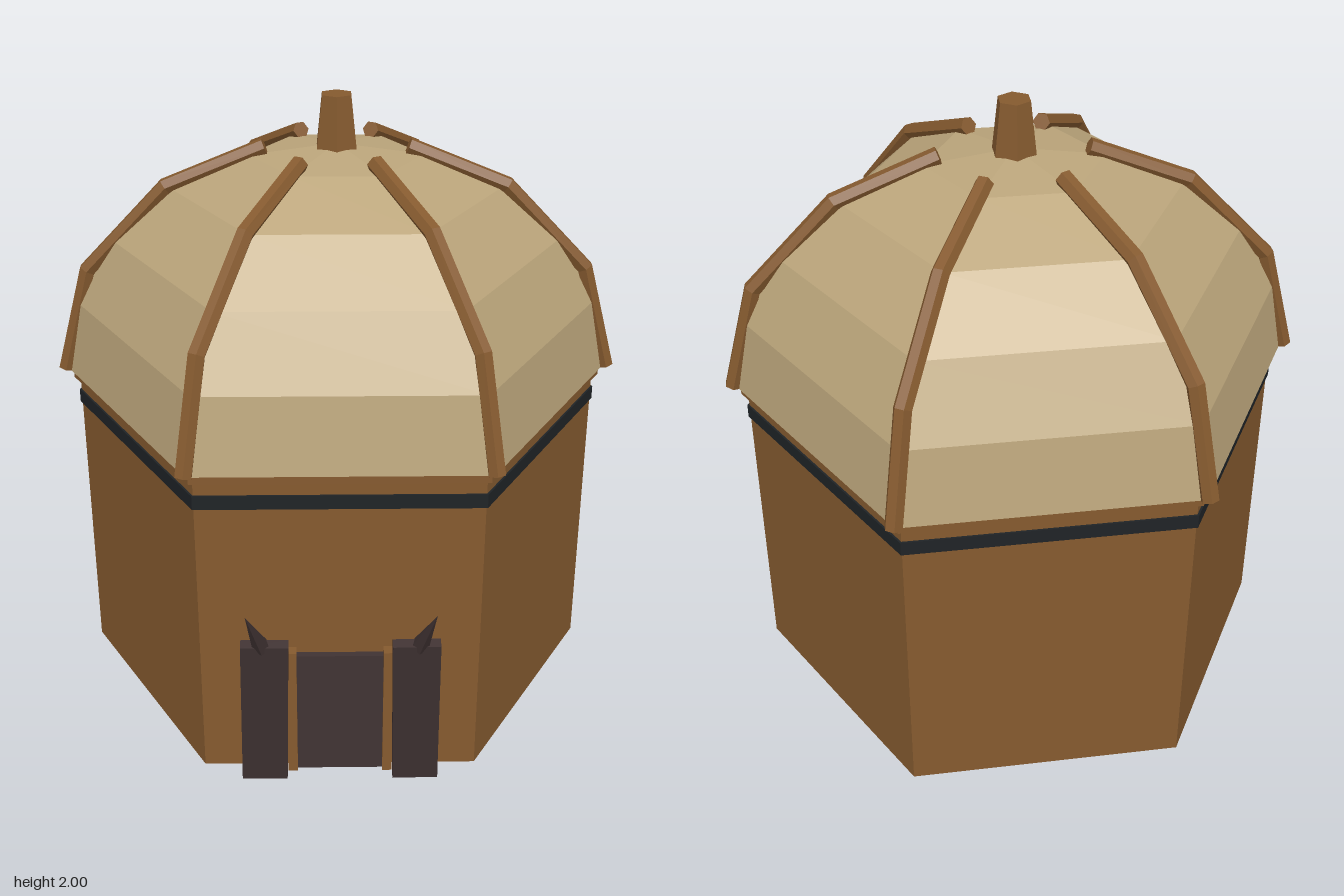
import * as THREE from 'three';

const flat = (name, color) => {
  const m = new THREE.MeshStandardMaterial({ color, flatShading: true });
  m.name = name;
  return m;
};

export function createModel() {
  const wood = flat('brown wood', 0x855a2f);
  const canvas = flat('tan canvas', 0xbba57b);
  const iron = flat('dark iron', 0x1f2326);
  const slate = flat('dark door timber', 0x403333);

  const model = new THREE.Group();
  model.name = 'hexagonalHut';
  const add = (parent, name, geometry, material, x = 0, y = 0, z = 0) => {
    const mesh = new THREE.Mesh(geometry, material);
    mesh.name = name;
    mesh.position.set(x, y, z);
    parent.add(mesh);
    return mesh;
  };

  // Hexagonal building, corners on the x axis
  const hut = new THREE.Group();
  hut.name = 'hut';
  hut.position.z = -0.075;
  model.add(hut);
  const hexPrism = (name, radius, y0, y1, material) => {
    const g = new THREE.CylinderGeometry(radius, radius, y1 - y0, 6).rotateY(Math.PI / 2);
    return add(hut, name, g, material, 0, (y0 + y1) / 2, 0);
  };
  hexPrism('walls', 0.855, 0.03, 1.06, wood);
  hexPrism('ironBand', 0.862, 0.96, 1.005, iron);
  hexPrism('eaveRing', 0.876, 1.05, 1.08, wood);

  // Faceted dome: five rows of a squashed hemisphere, with a closed underside
  const profile = [new THREE.Vector2(0.8, 1.078)];
  for (let i = 0; i <= 5; i++) {
    const a = (i * Math.PI) / 10;
    profile.push(new THREE.Vector2(Math.max(0, 0.89 * Math.cos(a)), 1.08 + 0.765 * Math.sin(a)));
  }
  add(hut, 'dome', new THREE.LatheGeometry(profile, 6, Math.PI / 2), canvas);

  // Ribs: a six-sided bar bent along the dome's corners
  const path = [[0.897, 1.085], [0.805, 1.43], [0.54, 1.707], [0.225, 1.835]]
    .map(([x, y]) => new THREE.Vector2(x, y));
  const ribGeometry = new THREE.CylinderGeometry(0.028, 0.028, 1, 6, 3);
  const pos = ribGeometry.attributes.position;
  for (let i = 0; i < pos.count; i++) {
    const row = Math.round((pos.getY(i) + 0.5) * 3);
    const dir = path[Math.min(row + 1, 3)].clone().sub(path[Math.max(row - 1, 0)]).normalize();
    const out = pos.getX(i);
    pos.setXYZ(i, path[row].x + dir.y * out, path[row].y - dir.x * out, pos.getZ(i));
  }
  ribGeometry.computeVertexNormals();
  for (let k = 0; k < 6; k++) {
    add(hut, 'rib', ribGeometry, wood).rotation.y = (k * Math.PI) / 3;
  }

  // Finial on the crown
  add(hut, 'finial', new THREE.CylinderGeometry(0.052, 0.073, 0.18, 6), wood, 0, 1.91, 0);

  // Entrance: door, posts, leaning slabs and their spikes
  const entrance = new THREE.Group();
  entrance.name = 'entrance';
  model.add(entrance);
  add(entrance, 'door', new THREE.BoxGeometry(0.27, 0.425, 0.04), slate, 0, 0.2425, 0.668);
  const up = new THREE.Vector3(0, 1, 0);
  for (const side of [-1, 1]) {
    add(entrance, 'doorPost', new THREE.BoxGeometry(0.03, 0.445, 0.04), wood, side * 0.148, 0.2525, 0.683);
    const slab = add(entrance, 'leaningSlab', new THREE.BoxGeometry(0.142, 0.575, 0.035), slate,
      side * 0.231, 0.292, 0.744);
    slab.rotation.set(0.175, 0, side * 0.02);

    const base = new THREE.Vector3(side * 0.234, 0.56, 0.788);
    const axis = new THREE.Vector3(side * 0.275, 0.73, 0.885).sub(base);
    const spikeGeometry = new THREE.ConeGeometry(0.028, axis.length(), 5);
    const spike = add(entrance, 'spike', spikeGeometry, slate);
    spike.position.copy(base).addScaledVector(axis, 0.5);
    spike.quaternion.setFromUnitVectors(up, axis.clone().normalize());
  }
  return model;
}
